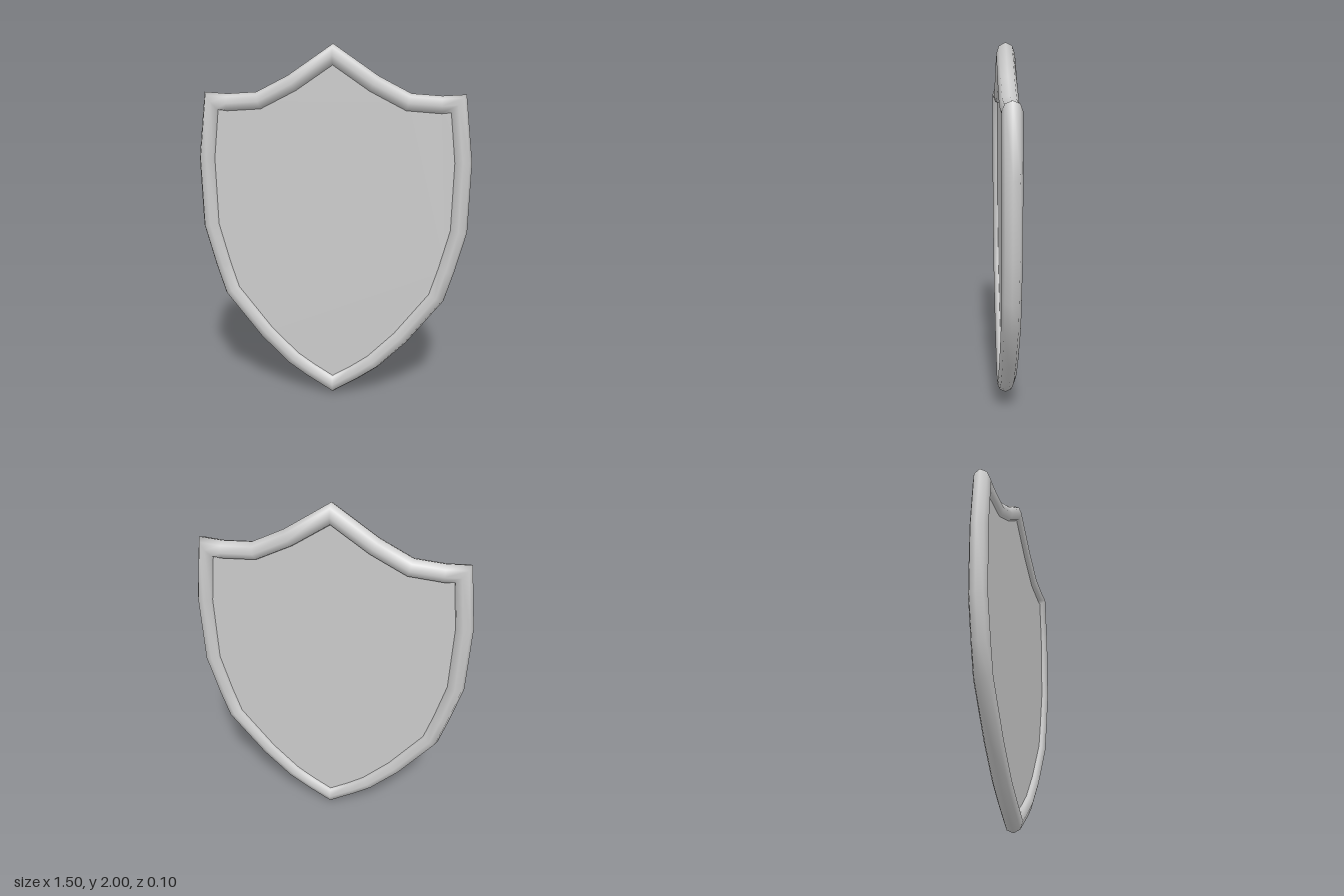
import * as THREE from 'three';

const RIM_RADIUS = 0.05;
const RIM_SIDES = 8;
const PANEL_HALF = 0.02;

// Centre line of the rim, left half from the top peak down to the bottom point
const HALF = [
  [0, 1.94], [0.22, 1.79], [0.405, 1.695], [0.58, 1.683], [0.665, 1.69],
  [0.70, 1.38], [0.69, 1.0], [0.63, 0.775], [0.58, 0.615],
  [0.385, 0.365], [0.23, 0.21], [0.13, 0.14], [0, 0.06],
];

function outline() {
  const left = HALF.map(([x, y]) => new THREE.Vector2(x, y));
  const right = HALF.slice(1, -1).reverse().map(([x, y]) => new THREE.Vector2(-x, y));
  return [...left, ...right];
}

// Closed round bar swept along the outline with mitred corners
function rimGeometry(path) {
  const n = path.length;
  const positions = [];
  const indices = [];
  path.forEach((p, i) => {
    const a = p.clone().sub(path[(i + n - 1) % n]).normalize();
    const b = path[(i + 1) % n].clone().sub(p).normalize();
    const t = a.clone().add(b).normalize();
    const outward = new THREE.Vector2(-t.y, t.x);
    const mitre = Math.min(1 / t.dot(a), 1.33);
    for (let j = 0; j < RIM_SIDES; j++) {
      const angle = (j / RIM_SIDES) * Math.PI * 2;
      const r = Math.cos(angle) * RIM_RADIUS * mitre;
      positions.push(p.x + outward.x * r, p.y + outward.y * r, Math.sin(angle) * RIM_RADIUS);
      const k = (j + 1) % RIM_SIDES;
      const r0 = i * RIM_SIDES;
      const r1 = ((i + 1) % n) * RIM_SIDES;
      indices.push(r0 + j, r0 + k, r1 + j, r0 + k, r1 + k, r1 + j);
    }
  });
  const geometry = new THREE.BufferGeometry();
  geometry.setAttribute('position', new THREE.Float32BufferAttribute(positions, 3));
  geometry.setIndex(indices);
  geometry.computeVertexNormals();
  return geometry;
}

export function createModel() {
  const group = new THREE.Group();
  group.name = 'shield';
  const material = new THREE.MeshStandardMaterial({ color: 0xcccccc, side: THREE.DoubleSide });
  const path = outline();

  // Flat plate whose edge is hidden inside the rim
  const plate = new THREE.ExtrudeGeometry(new THREE.Shape(path), {
    depth: PANEL_HALF * 2, bevelEnabled: false,
  });
  plate.translate(0, 0, -PANEL_HALF);
  const panel = new THREE.Mesh(plate, material);
  panel.name = 'panel';

  // Rounded border
  const rim = new THREE.Mesh(rimGeometry(path), material);
  rim.name = 'rim';

  group.add(panel, rim);
  return group;
}
